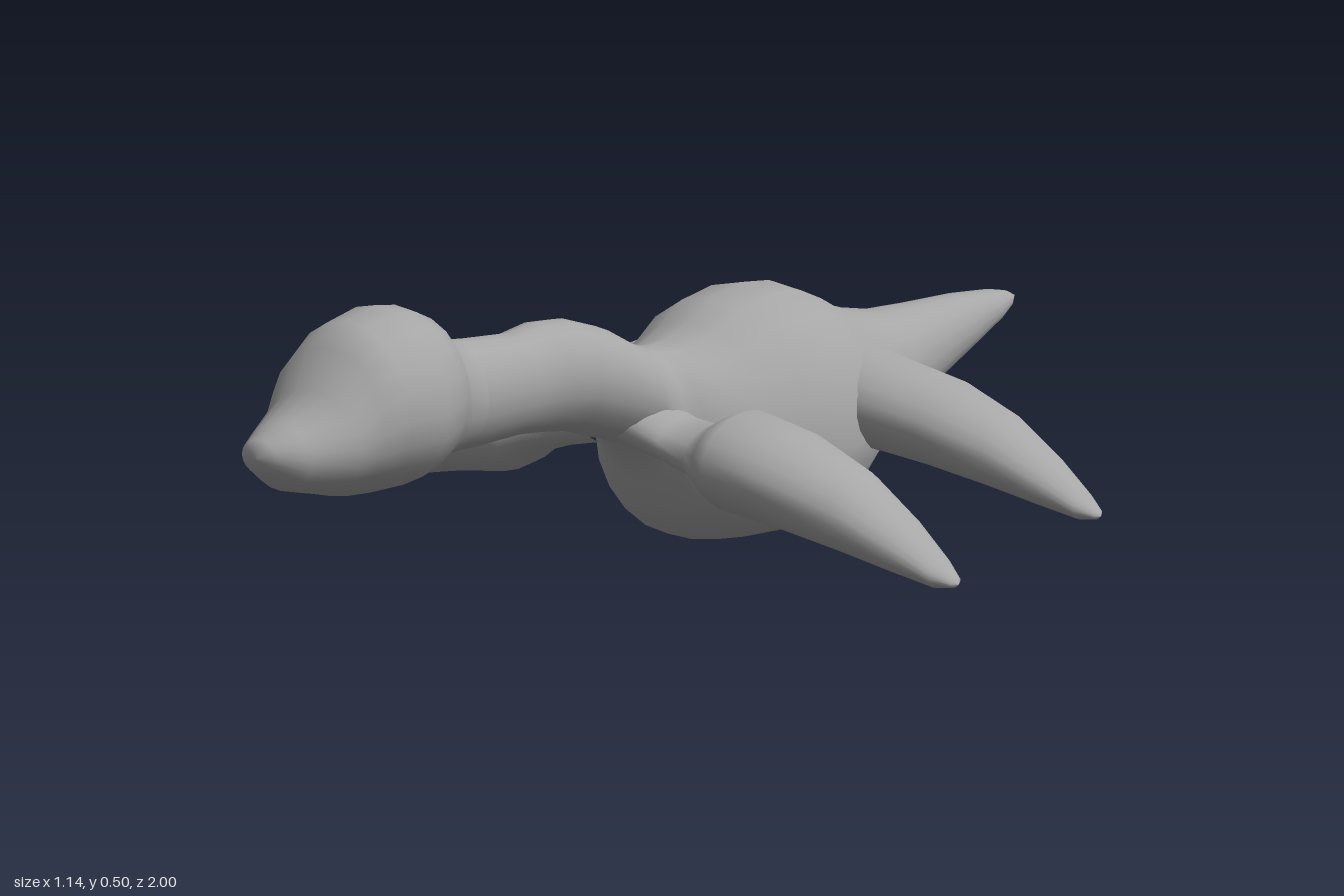
import * as THREE from 'three';

const SIDES = 20;

// Skin a list of rings (arrays of points) into one smooth surface
function loft(rings, material, name) {
  const points = rings.flat(2);
  const index = [];
  for (let r = 0; r < rings.length - 1; r++) {
    for (let i = 0; i < SIDES; i++) {
      const a = r * SIDES + i, a2 = r * SIDES + (i + 1) % SIDES;
      index.push(a, a + SIDES, a2, a2, a + SIDES, a2 + SIDES);
    }
  }
  const geometry = new THREE.BufferGeometry();
  geometry.setAttribute('position', new THREE.Float32BufferAttribute(points, 3));
  geometry.setIndex(index);
  geometry.computeVertexNormals();
  const mesh = new THREE.Mesh(geometry, material);
  mesh.name = name;
  return mesh;
}

// Oval with its widest level at mid, as [across, up] pairs
function oval(bottom, top, half, mid = (bottom + top) / 2) {
  return Array.from({ length: SIDES }, (_, i) => {
    const t = (i / SIDES) * Math.PI * 2, s = Math.sin(t);
    return [half * Math.cos(t), mid + s * (s > 0 ? top - mid : mid - bottom)];
  });
}

// Stations run front to back: z, bottom, top, half width, widest level
const alongZ = (stations) => stations.map(([z, ...o]) => oval(...o).map(([x, y]) => [x, y, z]));
// Stations run root to tip: x, bottom, top, half chord
const alongX = (stations) => stations.map(([x, ...o]) => oval(...o).map(([z, y]) => [x, y, z]));

const HEAD = [
  [1, 0.34, 0.34, 0], [0.995, 0.32, 0.365, 0.03], [0.96, 0.292, 0.38, 0.055],
  [0.9, 0.275, 0.41, 0.085], [0.87, 0.266, 0.462, 0.1, 0.36], [0.83, 0.262, 0.49, 0.11, 0.37],
  [0.77, 0.26, 0.502, 0.12, 0.37], [0.735, 0.265, 0.497, 0.115, 0.38], [0.695, 0.275, 0.48, 0.09],
  [0.66, 0.28, 0.44, 0.068], [0.62, 0.28, 0.432, 0.062],
];

const BODY = [
  [0.68, 0.28, 0.44, 0.06], [0.6, 0.277, 0.43, 0.062], [0.5, 0.275, 0.422, 0.056],
  [0.44, 0.268, 0.429, 0.064], [0.38, 0.258, 0.424, 0.072], [0.3, 0.232, 0.4, 0.075],
  [0.23, 0.205, 0.365, 0.076], [0.19, 0.14, 0.353, 0.085, 0.23], [0.165, 0.085, 0.35, 0.105, 0.2],
  [0.12, 0.045, 0.352, 0.14, 0.19], [0.06, 0.023, 0.37, 0.165, 0.18], [0, 0.014, 0.4, 0.187, 0.17],
  [-0.09, 0.005, 0.41, 0.207, 0.17], [-0.16, 0.013, 0.403, 0.203, 0.175],
  [-0.23, 0.026, 0.378, 0.178, 0.18], [-0.3, 0.055, 0.347, 0.145], [-0.38, 0.08, 0.325, 0.117],
  [-0.48, 0.1, 0.307, 0.095], [-0.62, 0.138, 0.299, 0.072], [-0.78, 0.182, 0.292, 0.052],
  [-0.9, 0.216, 0.281, 0.035], [-0.96, 0.235, 0.27, 0.019], [-1, 0.255, 0.255, 0],
];

// Shared blade of all paddles
const BLADE = [
  [0.21, 0.14, 0.285, 0.11], [0.3, 0.128, 0.264, 0.103], [0.4, 0.108, 0.222, 0.081],
  [0.48, 0.09, 0.167, 0.057], [0.54, 0.077, 0.117, 0.033], [0.565, 0.08, 0.095, 0.014],
  [0.57, 0.085, 0.085, 0],
];
const FRONT_ROOT = [
  [0.03, 0.21, 0.29, 0.068], [0.1, 0.195, 0.26, 0.066], [0.15, 0.178, 0.255, 0.07],
  [0.18, 0.155, 0.272, 0.092],
];
const REAR_ROOT = [[0.04, 0.15, 0.33, 0.115], [0.12, 0.145, 0.31, 0.115]];

export function createModel() {
  const group = new THREE.Group();
  group.name = 'marineReptile';
  const skin = new THREE.MeshStandardMaterial({ color: 0xa6a6a6 });
  skin.name = 'greySkin';

  group.add(loft(alongZ(HEAD), skin, 'head'));
  group.add(loft(alongZ(BODY), skin, 'neckBodyTail'));

  // Paddles are symmetric along z, so a half turn gives the other side
  for (const [name, root, z] of [['front', FRONT_ROOT, 0.225], ['rear', REAR_ROOT, -0.217]]) {
    for (const side of ['Left', 'Right']) {
      const paddle = loft(alongX([...root, ...BLADE]), skin, `${name}${side}Paddle`);
      paddle.position.z = z;
      if (side === 'Right') paddle.rotation.y = Math.PI;
      group.add(paddle);
    }
  }
  return group;
}
